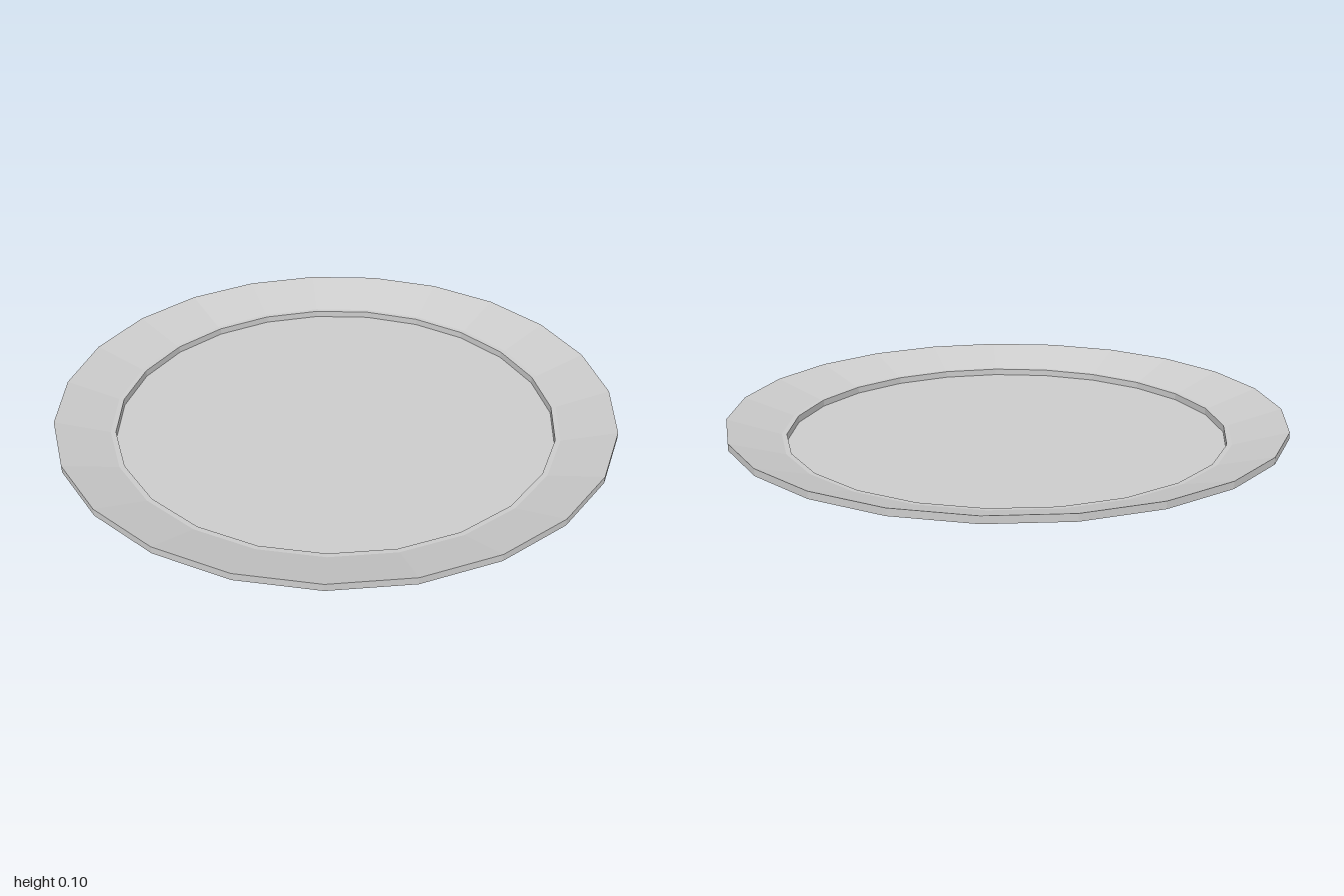
import * as THREE from 'three';

const SIDES = 23;

export function createModel() {
  const group = new THREE.Group();
  group.name = 'plate';
  const material = new THREE.MeshStandardMaterial({ color: 0xcccccc, flatShading: true });

  // Closed cross-section: underside, sloped flank, rim edge, sloped rim, lip, floor
  const profile = [
    [0, 0], [0.815, 0], [1.0023, 0.075], [1.0023, 0.1],
    [0.813, 0.037], [0.795, 0.036], [0.795, 0.011], [0, 0.011],
  ].map(([r, y]) => new THREE.Vector2(r, y));

  // A corner points to the back, a flat side to the front
  const dish = new THREE.Mesh(new THREE.LatheGeometry(profile, SIDES, Math.PI), material);
  dish.name = 'dish';
  dish.position.z = 0.0047; // centres the odd-sided outline
  group.add(dish);
  return group;
}
